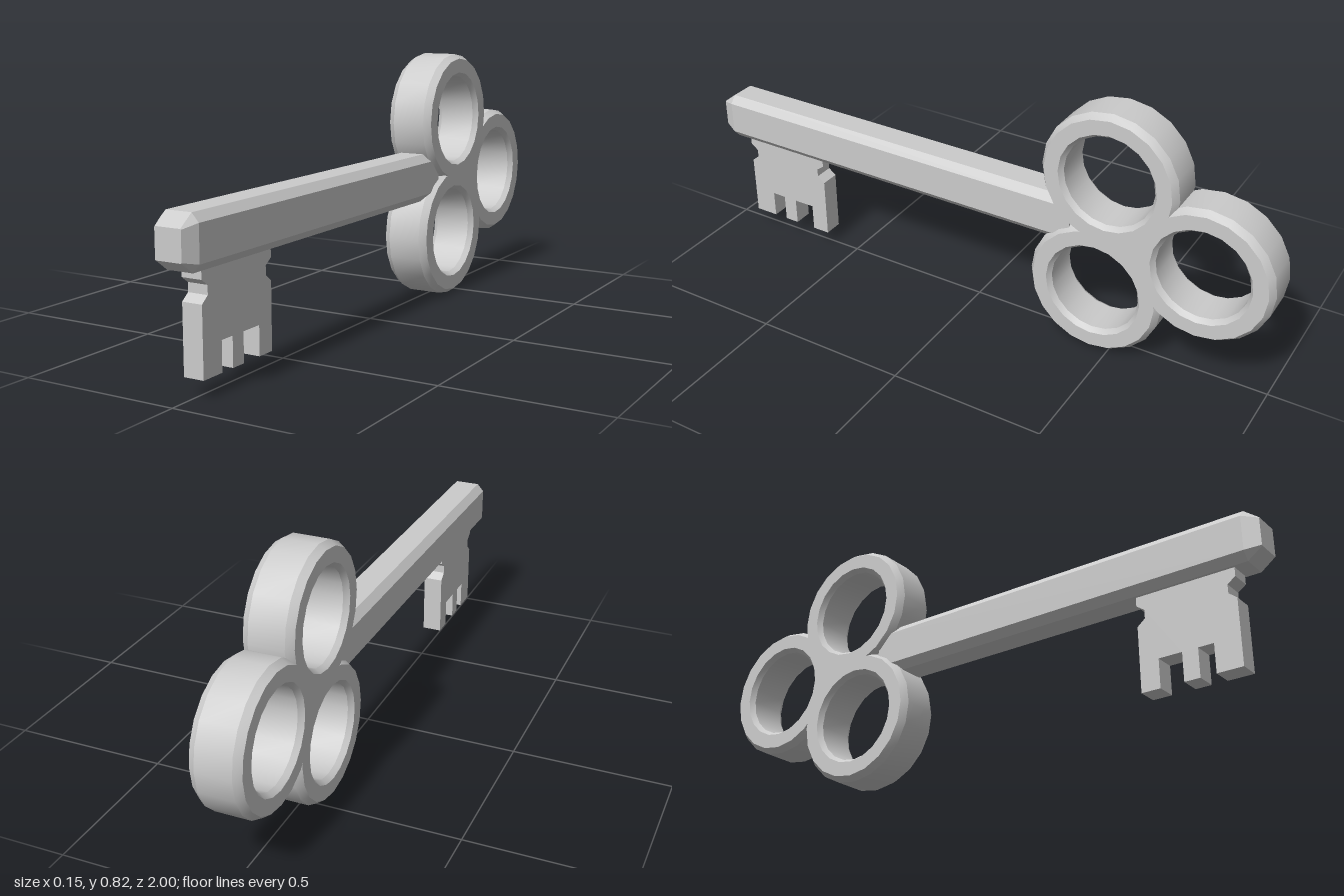
import * as THREE from 'three';
import { toCreasedNormals } from 'three/addons/utils/BufferGeometryUtils.js';

const material = new THREE.MeshStandardMaterial({ color: 0xcccccc });

function part(name, geometry) {
  const mesh = new THREE.Mesh(geometry, material);
  mesh.name = name;
  return mesh;
}

// Bevelled ring lying in the y-z plane
function ringGeometry() {
  const profile = [
    [0.205, -0.077], [0.22, -0.055], [0.22, 0.055], [0.205, 0.077],
    [0.158, 0.077], [0.146, 0.06], [0.146, -0.06], [0.158, -0.077], [0.205, -0.077],
  ].map(([r, y]) => new THREE.Vector2(r, y));
  const geometry = new THREE.LatheGeometry(profile, 20);
  geometry.rotateZ(-Math.PI / 2);
  return toCreasedNormals(geometry, 0.45);
}

// Flat-shaded skin through cross-sections ordered along +z, capped at both ends
function loft(sections) {
  const n = sections[0].points.length;
  const positions = [];
  const at = (s, i) => [...sections[s].points[i % n], sections[s].z];
  const tri = (...corners) => corners.forEach((c) => positions.push(...c));
  for (let s = 0; s < sections.length - 1; s++) {
    for (let i = 0; i < n; i++) {
      tri(at(s, i), at(s, i + 1), at(s + 1, i + 1));
      tri(at(s, i), at(s + 1, i + 1), at(s + 1, i));
    }
  }
  const last = sections.length - 1;
  for (let i = 1; i < n - 1; i++) {
    tri(at(0, 0), at(0, i + 1), at(0, i));
    tri(at(last, 0), at(last, i), at(last, i + 1));
  }
  const geometry = new THREE.BufferGeometry();
  geometry.setAttribute('position', new THREE.Float32BufferAttribute(positions, 3));
  geometry.computeVertexNormals();
  return geometry;
}

// Rectangle with cut corners, counter-clockwise
function octagon(w, bottom, top, cx, cy) {
  return [
    [w, bottom + cy], [w, top - cy], [w - cx, top], [cx - w, top],
    [-w, top - cy], [-w, bottom + cy], [cx - w, bottom], [w - cx, bottom],
  ];
}

// Toothed plate, outlined as [z, y]
function bitGeometry() {
  const side = [[0.91, 0.255], [0.885, 0.275], [0.885, 0.302], [0.91, 0.32], [0.91, 0.36]];
  const mirrored = side.map(([z, y]) => [1.51 - z, y]).reverse();
  const teeth = [
    [0.6, 0.053], [0.66, 0.053], [0.66, 0.142], [0.733, 0.142], [0.733, 0.053],
    [0.782, 0.053], [0.782, 0.142], [0.83, 0.142], [0.83, 0.053], [0.91, 0.053],
  ];
  const outline = [...teeth, ...side, ...mirrored].map(([z, y]) => new THREE.Vector2(z, y));
  const geometry = new THREE.ExtrudeGeometry(new THREE.Shape(outline), { depth: 0.064, bevelEnabled: false });
  geometry.translate(0, 0, -0.032);
  geometry.rotateY(-Math.PI / 2);
  return geometry;
}

export function createModel() {
  const key = new THREE.Group();
  key.name = 'key';

  // Trefoil bow
  const bow = new THREE.Group();
  bow.name = 'bow';
  const ring = ringGeometry();
  [['upperRing', 0.606, -0.47], ['rearRing', 0.39, -0.78], ['lowerRing', 0.221, -0.443]].forEach(([name, y, z]) => {
    const mesh = part(name, ring);
    mesh.position.set(0, y, z);
    bow.add(mesh);
  });

  // Solid web where the three rings meet
  const web = part('bowWeb', toCreasedNormals(new THREE.CylinderGeometry(0.05, 0.05, 0.154, 12), 0.6));
  web.rotation.z = Math.PI / 2;
  web.position.set(0, 0.408, -0.564);
  bow.add(web);
  key.add(bow);

  // Shaft with cut corners and a bevelled tip
  const body = octagon(0.063, 0.347, 0.503, 0.022, 0.025);
  key.add(part('shaft', loft([
    { z: -0.35, points: body },
    { z: 0.955, points: body },
    { z: 1, points: octagon(0.042, 0.38, 0.468, 0.002, 0.002) },
  ])));

  key.add(part('bit', bitGeometry()));
  return key;
}
